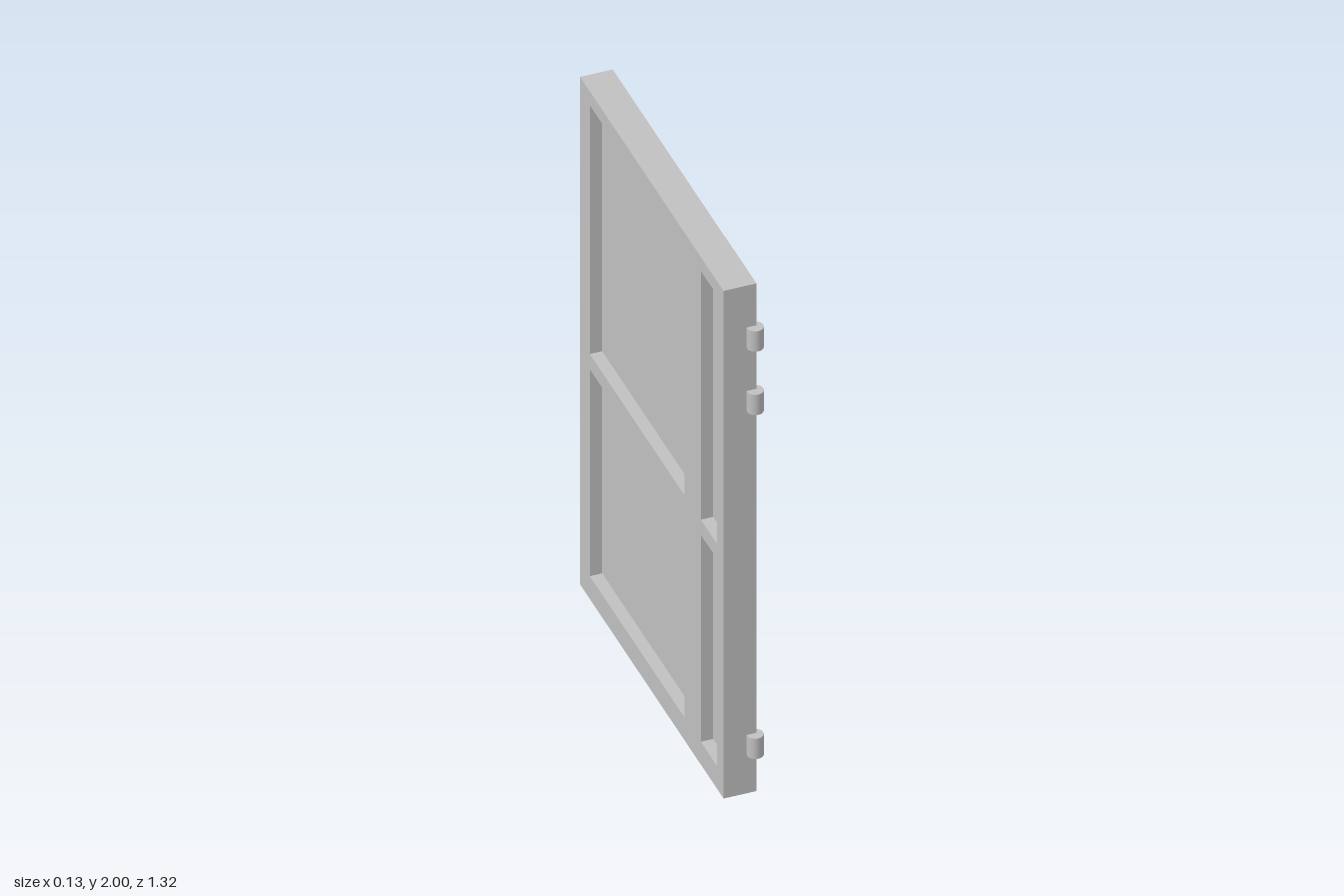
import * as THREE from 'three';

const BACK = -0.07, FRONT = 0.043;
const PANEL_ROWS = [[0.09, 0.905], [0.965, 1.945]];

// Rectangle path in the (z, y) plane of the door
function rect(path, z0, z1, y0, y1) {
  // shape x is -z, so that a quarter turn about y lands it upright facing +x
  path.moveTo(-z1, y0);
  path.lineTo(-z0, y0);
  path.lineTo(-z0, y1);
  path.lineTo(-z1, y1);
  path.closePath();
  return path;
}

// One leaf: a frame with two openings, each closed by a recessed panel
function makeLeaf(name, z0, z1, open0, open1, front, material) {
  const leaf = new THREE.Group();
  leaf.name = name;

  const outline = rect(new THREE.Shape(), z0, z1, 0, 2);
  for (const [y0, y1] of PANEL_ROWS) {
    outline.holes.push(rect(new THREE.Path(), open0, open1, y0, y1));
  }
  const geometry = new THREE.ExtrudeGeometry(outline, { depth: front - BACK, bevelEnabled: false });
  geometry.rotateY(Math.PI / 2);
  geometry.translate(BACK, 0, 0);
  const frame = new THREE.Mesh(geometry, material);
  frame.name = 'leafFrame';
  leaf.add(frame);

  PANEL_ROWS.forEach(([y0, y1], i) => {
    const panel = new THREE.Mesh(new THREE.BoxGeometry(0.033, y1 - y0, open1 - open0), material);
    panel.name = i ? 'upperPanel' : 'lowerPanel';
    panel.position.set(-0.011, (y0 + y1) / 2, (open0 + open1) / 2);
    leaf.add(panel);
  });
  return leaf;
}

export function createModel() {
  const model = new THREE.Group();
  model.name = 'doubleDoor';
  const grey = new THREE.MeshStandardMaterial({ color: 0xc0c0c0 });
  grey.name = 'grey';

  // Narrow and wide leaves meet at a fine seam
  model.add(makeLeaf('narrowLeaf', 0.357, 0.63, 0.43, 0.572, FRONT, grey));
  model.add(makeLeaf('wideLeaf', -0.63, 0.357, -0.545, 0.285, FRONT - 0.001, grey));

  // Hinge barrels on both outer edges
  const barrel = new THREE.CylinderGeometry(0.028, 0.028, 0.08, 24);
  for (const side of [-1, 1]) {
    for (const y of [0.19, 1.545, 1.795]) {
      const hinge = new THREE.Mesh(barrel, grey);
      hinge.name = 'hinge';
      hinge.position.set(0.037, y, side * 0.634);
      model.add(hinge);
    }
  }
  return model;
}
